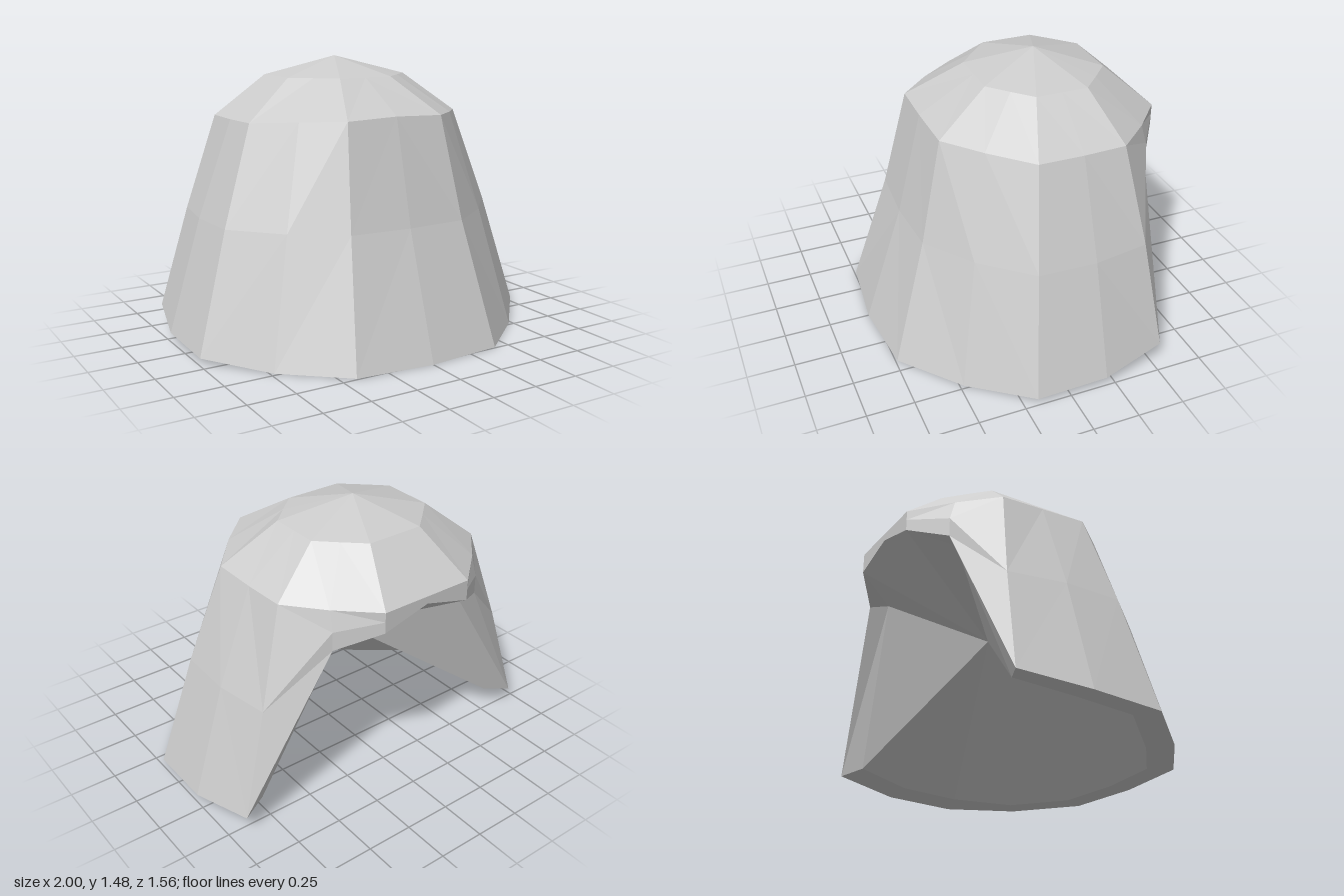
import * as THREE from 'three';

// Outline columns from the front centre round the left side to the back centre.
// Each column: crown, brow, middle and hem points as [x, y, z].
const columns = [
  [[0, 1.375, 0.13], [0, 1.2, 0.43], [0, 0.65, 0.565], [0, 0, 0.78]],
  [[0.155, 1.375, 0.13], [0.28, 1.19, 0.42], [0.335, 0.65, 0.545], [0.42, 0, 0.74]],
  [[0.26, 1.375, 0.035], [0.46, 1.18, 0.25], [0.59, 0.65, 0.36], [0.73, 0, 0.48]],
  [[0.36, 1.375, -0.06], [0.635, 1.165, 0.045], [0.81, 0.65, 0.11], [0.99, 0.03, 0.18]],
  [[0.36, 1.375, -0.2], [0.63, 1.16, -0.2], [0.82, 0.65, -0.2], [1, 0.05, -0.2]],
  [[0.36, 1.375, -0.34], [0.62, 1.16, -0.43], [0.77, 0.65, -0.5], [0.92, 0.1, -0.55]],
  [[0.26, 1.375, -0.435], [0.455, 1.155, -0.61], [0.46, 1.05, -0.64], [0.46, 0.95, -0.64]],
  [[0.155, 1.375, -0.53], [0.26, 1.15, -0.78], [0.26, 1.1, -0.78], [0.26, 1.04, -0.78]],
  [[0, 1.375, -0.53], [0, 1.15, -0.78], [0, 1.13, -0.78], [0, 1.11, -0.78]],
];

// Mirror the half outline into a closed loop
const mirrored = columns.slice(1, -1).reverse().map(c => c.map(([x, y, z]) => [-x, y, z]));
const loop = [...columns, ...mirrored];
const row = k => loop.map(c => c[k]);
const pole = p => loop.map(() => p);

// Flat faces between successive rows; a row may be a single repeated pole
function loft(name, rows) {
  const pos = [];
  const same = (a, b) => a.every((v, i) => v === b[i]);
  const tri = (a, b, c) => {
    if (!same(a, b) && !same(b, c) && !same(a, c)) pos.push(...a, ...b, ...c);
  };
  for (let r = 0; r < rows.length - 1; r++) {
    for (let i = 0; i < loop.length; i++) {
      const j = (i + 1) % loop.length;
      const [a, b, c, d] = [rows[r][i], rows[r + 1][i], rows[r + 1][j], rows[r][j]];
      // Mirror the diagonal on the other side
      if (i < loop.length / 2) { tri(a, b, c); tri(a, c, d); }
      else { tri(a, b, d); tri(b, c, d); }
    }
  }
  const geo = new THREE.BufferGeometry();
  geo.setAttribute('position', new THREE.Float32BufferAttribute(pos, 3));
  geo.computeVertexNormals();
  const mesh = new THREE.Mesh(geo, new THREE.MeshStandardMaterial({ color: 0xcccccc, flatShading: true }));
  mesh.name = name;
  return mesh;
}

export function createModel() {
  const group = new THREE.Group();
  group.name = 'hood';

  // Hem inset: a thick edge round the skirt, thinning to none at the back
  const inner = row(3).map(([x, y, z]) => {
    const s = y > 1 ? 1 : 0.85;
    return [x * s, y + (y > 0 && y < 0.5 ? 0.02 : 0), -0.1 + (z + 0.1) * s];
  });

  group.add(
    loft('dome', [pole([0, 1.475, -0.2]), row(0), row(1)]),
    loft('skirt', [row(1), row(2), row(3)]),
    loft('hemAndLining', [row(3), inner, pole([0, 0.68, -0.14])]),
  );
  return group;
}
